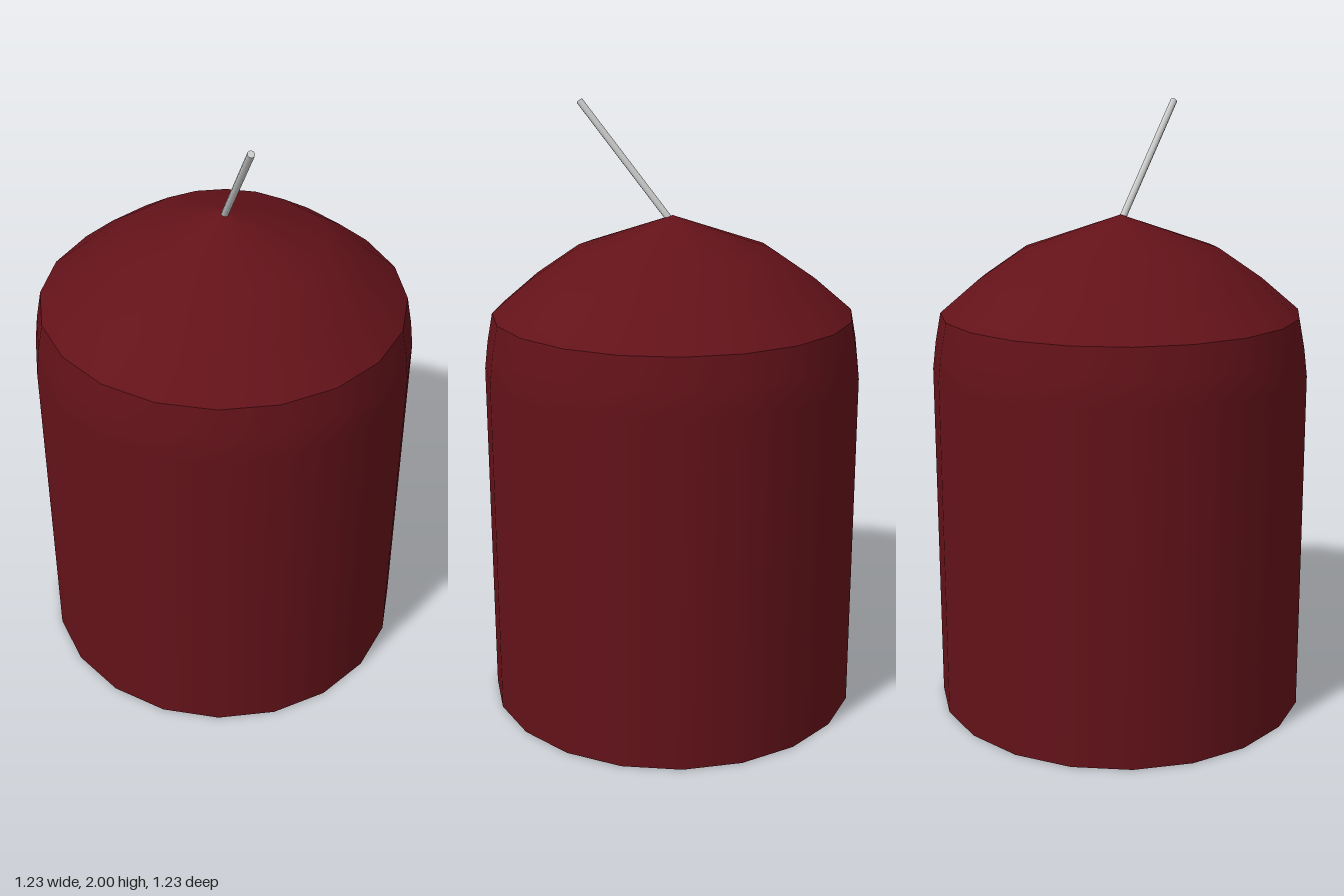
import * as THREE from 'three';

const SIDES = 20;

// Smooth turned surface from [radius, height] pairs, listed bottom to top
const turned = (profile) =>
  new THREE.LatheGeometry(profile.map(([r, y]) => new THREE.Vector2(r, y)), SIDES);

export function createModel() {
  const candle = new THREE.Group();
  candle.name = 'candle';
  const wax = new THREE.MeshStandardMaterial({ color: 0x631219 });
  const string = new THREE.MeshStandardMaterial({ color: 0xcccccc });

  const add = (name, geometry, material) => {
    const mesh = new THREE.Mesh(geometry, material);
    mesh.name = name;
    candle.add(mesh);
    return mesh;
  };

  // Wax: straight wall with a tapered shoulder, a domed top, a flat base
  add('waxBody', turned([[0.617, 0], [0.617, 1.14], [0.606, 1.23], [0.588, 1.325]]), wax);
  add('waxTop', turned([[0.588, 1.325], [0.465, 1.43], [0.32, 1.53], [0, 1.64]]), wax);
  add('waxBase', new THREE.CircleGeometry(0.617, SIDES, Math.PI / 2).rotateX(Math.PI / 2), wax);

  // Wick: thin rod leaning forward from the tip
  const foot = new THREE.Vector3(0, 1.62, 0.005);
  const tip = new THREE.Vector3(-0.013, 1.992, 0.312);
  const lean = tip.clone().sub(foot);
  const wick = add('wick', new THREE.CylinderGeometry(0.0115, 0.0115, lean.length(), 8), string);
  wick.position.copy(foot).add(tip).multiplyScalar(0.5);
  wick.quaternion.setFromUnitVectors(new THREE.Vector3(0, 1, 0), lean.normalize());

  return candle;
}
